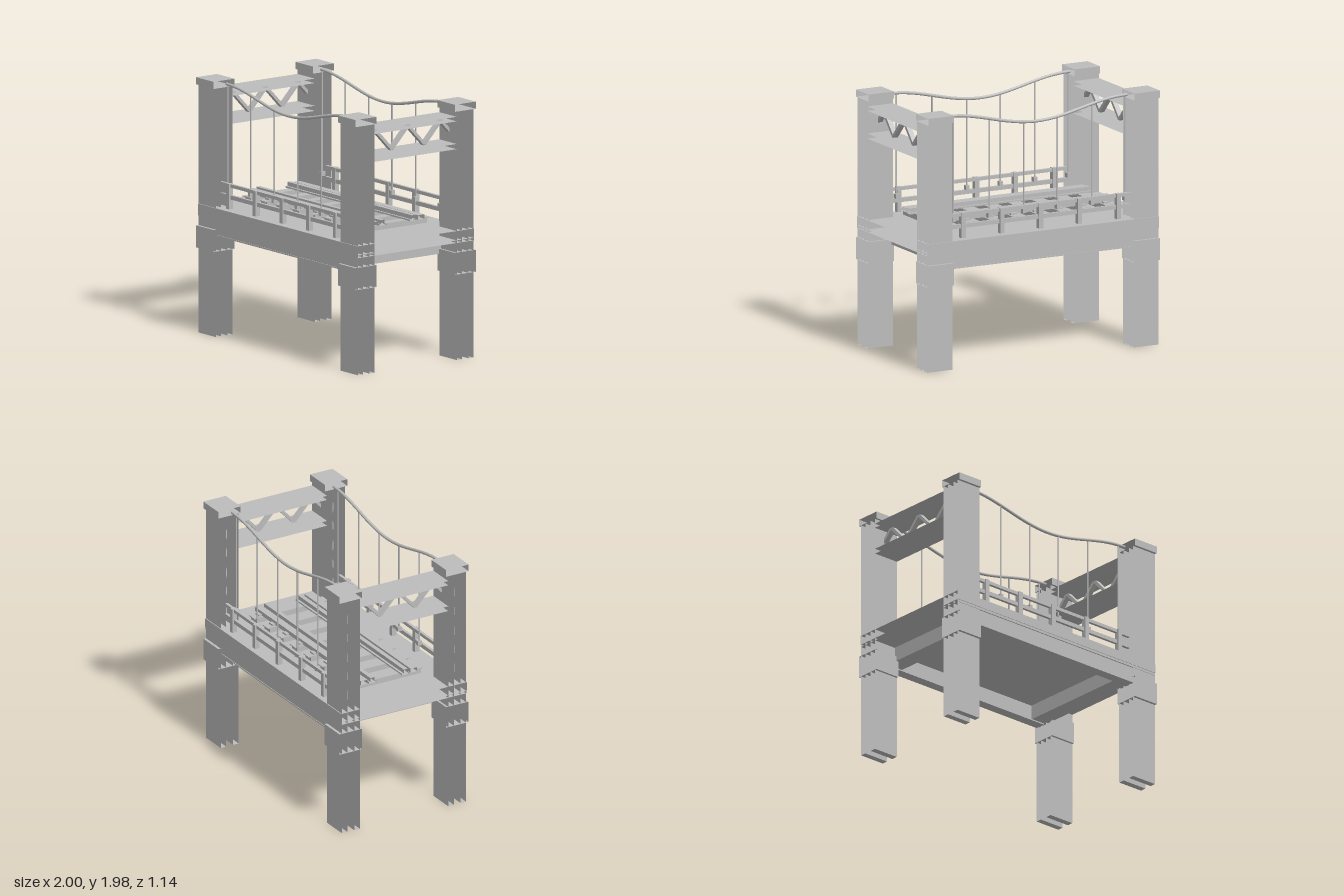
import * as THREE from 'three';

export function createModel() {
  const model = new THREE.Group();
  const grey = new THREE.MeshStandardMaterial({ color: 0xbcbcbc, side: THREE.DoubleSide });
  grey.name = 'concrete grey';

  function add(name, geometry) {
    const mesh = new THREE.Mesh(geometry, grey);
    mesh.name = name;
    model.add(mesh);
    return mesh;
  }
  function box(name, x0, x1, y0, y1, z0, z1) {
    const m = add(name, new THREE.BoxGeometry(x1 - x0, y1 - y0, Math.abs(z1 - z0)));
    m.position.set((x0 + x1) / 2, (y0 + y1) / 2, (z0 + z1) / 2);
    return m;
  }
  // Section run along x whose two ends are left open
  function run(name, x0, x1, y0, y1, z0, z1) {
    const m = box(name, x0, x1, y0, y1, z0, z1);
    m.geometry.setIndex(Array.from(m.geometry.index.array).slice(12));
    m.geometry.clearGroups();
    return m;
  }
  // Flat bar between two points in the y-z plane
  function bar(name, x, y0, z0, y1, z1, thick, depth) {
    const m = add(name, new THREE.BoxGeometry(depth, Math.hypot(y1 - y0, z1 - z0), thick));
    m.position.set(x, (y0 + y1) / 2, (z0 + z1) / 2);
    m.rotation.x = Math.atan2(z1 - z0, y1 - y0);
    return m;
  }

  // Towers at both ends
  for (const e of [-1, 1]) {
    const x0 = e < 0 ? -1 : 0.78, x1 = x0 + 0.22, xc = e * 0.89;
    for (const s of [-1, 1]) {
      run('towerOuterSlab', x0, x1, 0, 1.92, s * 0.5, s * 0.548);
      run('towerInnerSlab', x0, x1, 0, 1.92, s * 0.39, s * 0.44);
      run('towerCap', x0, x1, 1.92, 1.975, s * 0.372, s * 0.57);
      run('legCollar', x0, x1, 0.66, 0.83, s * 0.372, s * 0.57);
      // Crossed lacing between the slabs
      for (const y of [1.645, 1.325, 1.015]) {
        for (const d of [-1, 1]) {
          bar('towerLacing', xc, y - 0.127, s * 0.47 - d * 0.045, y + 0.127, s * 0.47 + d * 0.045, 0.022, 0.04);
        }
      }
    }
    // Portal chords with a zigzag web
    run('portalTopChord', x0, x1, 1.845, 1.88, -0.39, 0.39);
    run('portalBottomChord', x0, x1, 1.63, 1.67, -0.39, 0.39);
    for (let i = 0; i < 6; i++) {
      const yAt = k => (k % 2 ? 1.847 : 1.683);
      bar('portalWeb', xc, yAt(i), -0.465 + i * 0.155, yAt(i + 1), -0.465 + (i + 1) * 0.155, 0.024, 0.04);
    }
    // Beam across the deck underside
    box('endCrossBeam', e < 0 ? -0.8 : 0.66, e < 0 ? -0.66 : 0.8, 0.79, 0.91, -0.54, 0.54);
  }

  // Deck and edge beams
  run('deckSlab', -1, 1, 0.925, 0.997, -0.555, 0.555);
  run('deckLowerLip', -1, 1, 0.905, 0.925, -0.551, 0.551);
  for (const s of [-1, 1]) {
    for (let i = 0; i < 3; i++) {
      run('edgeBeam', -0.78 + i * 0.52, -0.26 + i * 0.52, 0.79, 0.905, s * 0.475, s * 0.542);
    }
    run('edgeBeamFlange', -0.78, 0.78, 0.78, 0.79, s * 0.465, s * 0.547);

    // Railing
    for (const x of [-0.67, -0.335, 0, 0.335, 0.67]) {
      box('railingPost', x - 0.018, x + 0.018, 1.005, 1.2, s * 0.483, s * 0.523);
    }
    run('railingTopRail', -0.78, 0.78, 1.172, 1.198, s * 0.487, s * 0.51);
    run('railingLowerRail', -0.78, 0.78, 1.08, 1.112, s * 0.487, s * 0.51);

    // Main cable
    const yAt = x => 1.825 + 0.12 * (1 - Math.cos(Math.PI * x / 0.78)) / 2;
    const points = [];
    for (let i = 0; i <= 16; i++) {
      const x = -0.78 + i * 0.0975;
      points.push(new THREE.Vector3(x, yAt(x), s * 0.448));
    }
    add('mainCable', new THREE.TubeGeometry(new THREE.CatmullRomCurve3(points), 32, 0.012, 8));

    // Hangers with foot clamps
    for (const x of [-0.765, -0.475, -0.18, 0.11, 0.41, 0.717]) {
      const top = yAt(x);
      const h = add('hanger', new THREE.CylinderGeometry(0.006, 0.006, top - 1.14, 8));
      h.position.set(x, (top + 1.14) / 2, s * 0.448);
      box('hangerClamp', x - 0.015, x + 0.015, 1.125, 1.16, s * 0.43, s * 0.466);
    }

    // Running rail and guard timber
    run('guardTimber', -0.78, 0.78, 1.075, 1.108, s * 0.19, s * 0.248);
    run('railFoot', -0.78, 0.78, 1.072, 1.084, s * 0.112, s * 0.176);
    run('railHead', -0.78, 0.78, 1.084, 1.115, s * 0.13, s * 0.165);
  }

  // Sleepers with bearing plates and clips
  for (let i = 0; i < 8; i++) {
    const x = -0.7 + i * 0.2;
    box('sleeper', x - 0.04, x + 0.04, 1.03, 1.066, -0.305, 0.305);
    box('sleeperPlate', x - 0.04, x + 0.04, 1.066, 1.073, -0.325, 0.325);
    for (const s of [-1, 1]) {
      box('railClip', x - 0.025, x + 0.025, 1.073, 1.086, s * 0.155, s * 0.275);
    }
  }
  return model;
}
